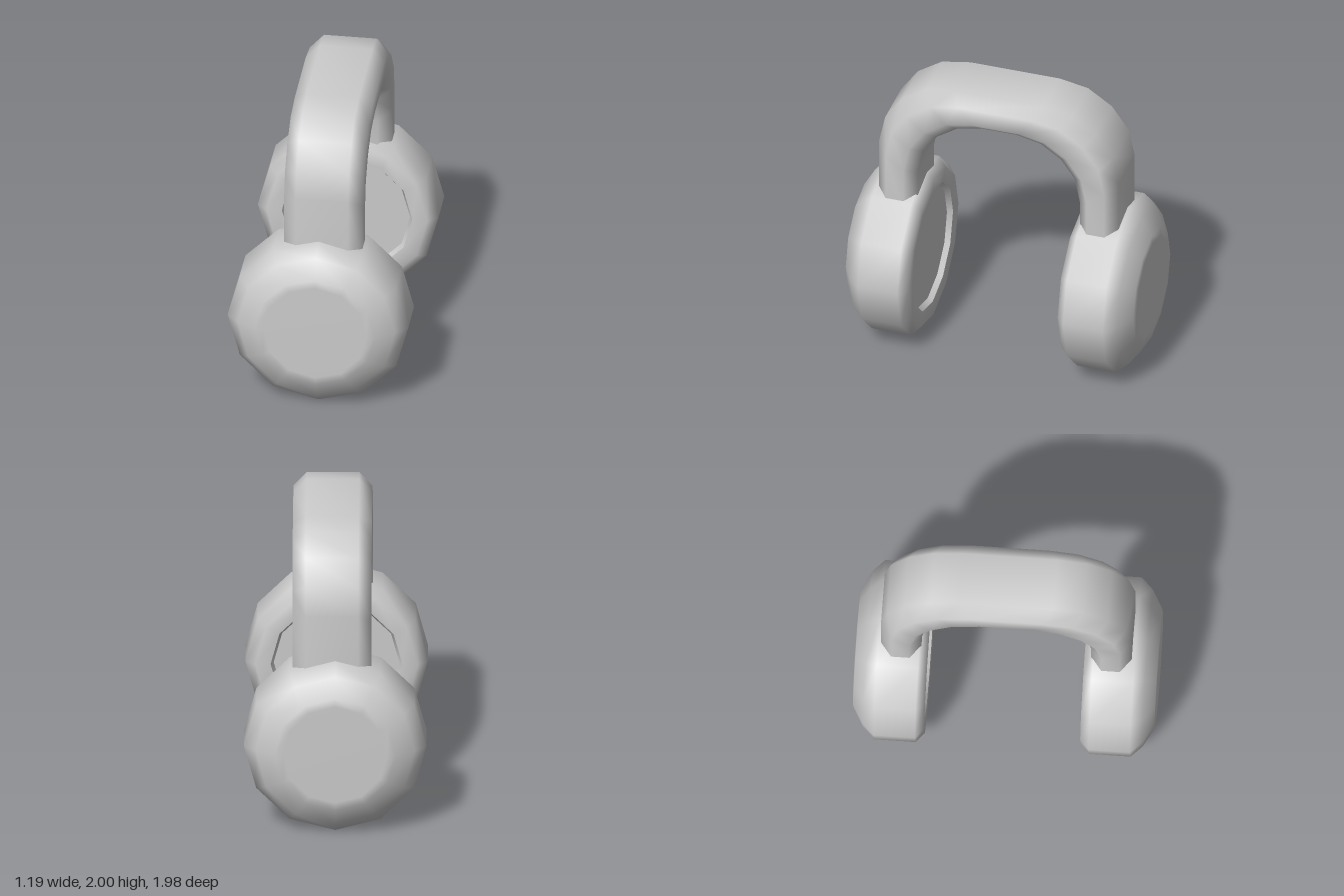
import * as THREE from 'three';

const grey = new THREE.MeshStandardMaterial({ color: 0xcccccc });
grey.name = 'plain grey';

const CUP_Y = 0.595;

// Twelve-sided solid of revolution about z; profile points are [radius, z]
function turned(name, profile) {
  const pts = profile.map(([r, z]) => new THREE.Vector2(r, z));
  const geo = new THREE.LatheGeometry(pts, 12).rotateX(Math.PI / 2);
  const mesh = new THREE.Mesh(geo, grey);
  mesh.name = name;
  return mesh;
}

// Ear cup: rounded shell with a shallow recess holding a flat pad
function earCup(name) {
  const cup = new THREE.Group();
  cup.name = name;
  cup.add(
    turned('cupShell', [
      [0.43, 0.515], [0.53, 0.51], [0.595, 0.568], [0.595, 0.838],
      [0.52, 0.915], [0.395, 0.985], [0.34, 0.99], [0, 0.99],
    ]),
    turned('recessWall', [[0.41, 0.55], [0.43, 0.515]]),
    turned('earPad', [[0, 0.55], [0.41, 0.55]]),
  );
  cup.position.y = CUP_Y;
  return cup;
}

// Headband: chamfered section lofted along an arch of outer/inner point pairs
function headband() {
  // [outer z, outer y, inner z, inner y] up the front leg
  const half = [
    [0.82, 1.04, 0.555, 1.04],
    [0.82, 1.5, 0.555, 1.3],
    [0.78, 1.69, 0.52, 1.475],
    [0.665, 1.855, 0.425, 1.61],
    [0.5, 1.965, 0.285, 1.705],
    [0.305, 2.0, 0.12, 1.74],
  ];
  const back = half.map(([a, b, c, d]) => [-a, b, -c, d]).reverse();
  const rings = [...half, ...back];

  // [x, share of the way from inner to outer edge]
  const w = 0.258, n = 0.172;
  const section = [
    [-w, 0.27], [-w, 0.73], [-n, 1], [n, 1],
    [w, 0.73], [w, 0.27], [n, 0], [-n, 0],
  ];

  const pos = [], index = [], count = section.length;
  rings.forEach(([oz, oy, iz, iy], r) => {
    section.forEach(([x, t], k) => {
      pos.push(x + 0.022, iy + (oy - iy) * t, iz + (oz - iz) * t);
      if (r === rings.length - 1) return;
      const a = r * count + k, b = r * count + (k + 1) % count;
      index.push(a, b, a + count, b, b + count, a + count);
    });
  });
  const geo = new THREE.BufferGeometry();
  geo.setAttribute('position', new THREE.Float32BufferAttribute(pos, 3));
  geo.setIndex(index);
  geo.computeVertexNormals();
  const mesh = new THREE.Mesh(geo, grey);
  mesh.name = 'headband';
  return mesh;
}

export function createModel() {
  const model = new THREE.Group();
  model.name = 'headphones';
  const backCup = earCup('backEarCup');
  backCup.rotation.y = Math.PI;
  model.add(earCup('frontEarCup'), backCup, headband());
  return model;
}
